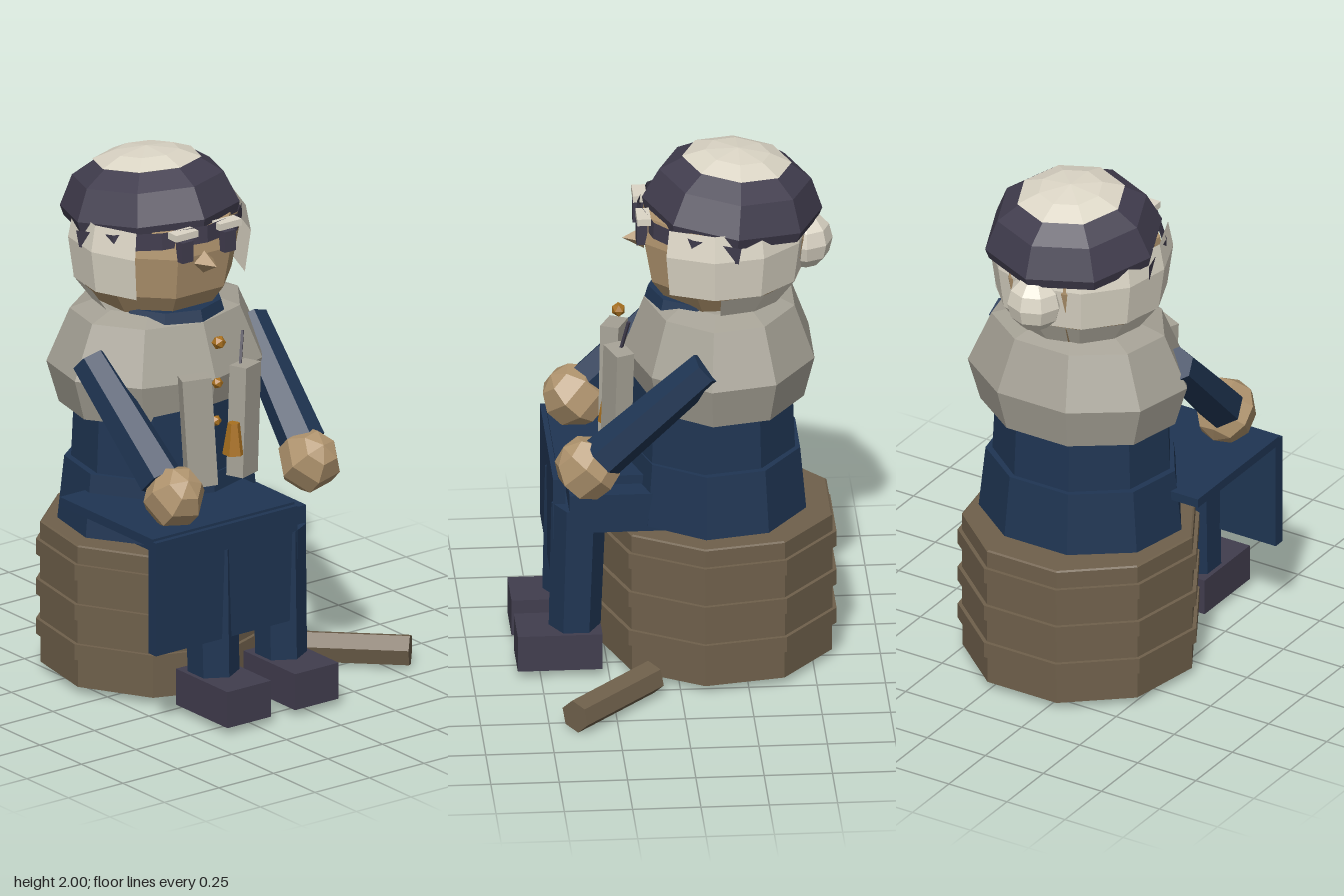
import * as THREE from 'three';

const CX = -0.14; // the sitter's centre line
const D = Math.PI / 180;

function mat(color) {
  return new THREE.MeshStandardMaterial({ color, flatShading: true, side: THREE.DoubleSide });
}

export function createModel() {
  const root = new THREE.Group();
  const navy = mat(0x1f3553), wool = mat(0xa6a296), hair = mat(0xdcd6c6), skin = mat(0xb0946e);
  const plum = mat(0x413d4e), wood = mat(0x6f604b), gold = mat(0xa8701f);

  function add(name, geo, material, x, y, z, parent = root) {
    const m = new THREE.Mesh(geo, material);
    m.name = name;
    m.position.set(x, y, z);
    parent.add(m);
    return m;
  }
  const box = (w, h, d) => new THREE.BoxGeometry(w, h, d);
  // Turned shape from [radius, height] pairs; angles in degrees from the front
  function turned(pts, sides, start = 0, sweep = 360) {
    return new THREE.LatheGeometry(pts.map(p => new THREE.Vector2(p[0], p[1])), sides, start * D, sweep * D);
  }
  // Tapered prism between two points
  function limb(name, a, b, r0, r1, sides, material) {
    const va = new THREE.Vector3(...a), vb = new THREE.Vector3(...b);
    const dir = vb.clone().sub(va);
    const m = add(name, new THREE.CylinderGeometry(r1, r0, dir.length(), sides), material, 0, 0, 0);
    m.position.copy(va).add(vb).multiplyScalar(0.5);
    m.quaternion.setFromUnitVectors(new THREE.Vector3(0, 1, 0), dir.normalize());
    return m;
  }

  // Barrel seat with raised hoops
  const barrel = [[0, 0.03], [0.435, 0.03], [0.435, 0.14]];
  for (const y of [0.14, 0.295, 0.45]) {
    barrel.push([0.452, y], [0.452, y + 0.06], [0.437, y + 0.06], [0.437, Math.min(y + 0.155, 0.575)]);
  }
  barrel.push([0.43, 0.58], [0, 0.58]);
  add('barrelSeat', turned(barrel, 9), wood, CX, 0, -0.164);

  // Dress: skirt and bodice
  const skirt = add('skirt', turned([[0, 0.6], [0.345, 0.6], [0.322, 0.84], [0, 0.84]], 9), navy, CX, 0, -0.155);
  skirt.scale.x = 1.14;
  const bodice = add('bodice', turned([[0, 0.82], [0.312, 0.82], [0.3, 1.12], [0, 1.12]], 9), navy, CX, 0, -0.147);
  bodice.scale.x = 1.1;

  // Shawl around the shoulders, and the collar
  const shawl = add('shawl',
    turned([[0, 1.05], [0.315, 1.05], [0.355, 1.21], [0.28, 1.41], [0.2, 1.44], [0, 1.44]], 9), wool, CX, 0, -0.175);
  shawl.scale.x = 1.21;
  add('collar', new THREE.CylinderGeometry(0.2, 0.22, 0.07, 9), navy, CX, 1.42, -0.11);

  // Head: face, hair and bun
  const face = turned([[0, 1.43], [0.22, 1.43], [0.285, 1.52], [0.315, 1.68], [0.3, 1.78], [0, 1.78]], 8, 22.5);
  add('head', face, skin, CX, 0, -0.18);
  add('hair', turned([[0.315, 1.53], [0.337, 1.69], [0.318, 1.79]], 8, 52, 256), hair, CX, 0, -0.165);
  add('napeHair', turned([[0.24, 1.43], [0.315, 1.53]], 6, 88, 184), hair, CX, 0, -0.165);
  const bun = add('hairBun', new THREE.SphereGeometry(0.11, 8, 6), hair, CX, 1.625, -0.485);
  bun.scale.set(0.95, 1, 0.92);
  const nose = add('nose', new THREE.ConeGeometry(0.045, 0.08, 4), skin, CX, 1.65, 0.145);
  nose.rotation.x = Math.PI / 2;

  // Hat: dark dome leaning back, pale crown, front band
  const hat = new THREE.Group();
  hat.name = 'hat';
  hat.position.set(CX, 1.75, -0.215);
  hat.rotation.x = -0.1;
  root.add(hat);
  add('hatDome', turned([[0, 0], [0.32, -0.01], [0.332, 0.03], [0.28, 0.145], [0.18, 0.21]], 8), plum, 0, 0, 0, hat);
  add('hatCrown', turned([[0.17, 0.19], [0.202, 0.203], [0.12, 0.235], [0, 0.25]], 8), hair, 0, 0, 0, hat);
  const band = add('hatBand', turned([[0.325, 0], [0.332, 0.065]], 6, -95, 190), plum, CX, 1.685, -0.19);
  band.rotation.x = -0.14;

  // Paired parts, mirrored about the centre line
  for (const s of [-1, 1]) {
    const side = s > 0 ? 'left' : 'right';
    add(side + 'Eye', box(0.05, 0.08, 0.04), plum, CX + s * 0.097, 1.715, 0.12);
    add(side + 'Eyebrow', box(0.1, 0.026, 0.05), hair, CX + s * 0.1, 1.778, 0.115);
    const end = add(side + 'ShawlEnd', box(0.11, 0.42, 0.07), wool, CX + s * 0.105, 1.045, 0.21);
    end.rotation.set(0, s * 0.4, -s * 0.06);
    limb(side + 'Arm', [CX + s * 0.365, 1.285, -0.1], [CX + s * 0.325, 0.92, 0.28], 0.07, 0.085, 6, navy);
    const hand = add(side + 'Hand', new THREE.SphereGeometry(0.122, 6, 5), skin, CX + s * 0.31, 0.872, 0.335);
    hand.rotation.set(0.8, s * 0.2, 0);
    hand.scale.x = 0.95;
    add(side + 'Thigh', box(0.19, 0.15, 0.52), navy, CX + s * 0.155, 0.655, 0.135);
    limb(side + 'Leg', [CX + s * 0.155, 0.16, 0.37], [CX + s * 0.155, 0.66, 0.355], 0.095, 0.1, 6, navy);
    add(side + 'Shoe', box(0.2, 0.14, 0.31), plum, CX + s * 0.155, 0.1, 0.43);
  }

  // Cloth over the lap with its hanging front
  add('lapCloth', box(0.65, 0.035, 0.56), navy, -0.295, 0.752, 0.15);
  add('clothFront', box(0.65, 0.44, 0.045), navy, -0.295, 0.54, 0.427);

  // Brooch, buttons, bell and pin
  add('brooch', new THREE.IcosahedronGeometry(0.027, 0), gold, CX, 1.36, 0.198);
  add('upperButton', new THREE.IcosahedronGeometry(0.022, 0), gold, CX, 1.2, 0.19);
  add('lowerButton', new THREE.IcosahedronGeometry(0.022, 0), gold, CX, 1.05, 0.18);
  add('bell', new THREE.CylinderGeometry(0.022, 0.042, 0.12, 6), gold, -0.1, 0.99, 0.235);
  limb('pin', [-0.045, 1.23, 0.2], [-0.01, 1.37, 0.17], 0.007, 0.007, 4, plum);

  // Log lying on the ground
  limb('log', [0.26, 0.062, 0.108], [0.577, 0.062, 0.41], 0.062, 0.062, 6, wood);

  return root;
}
